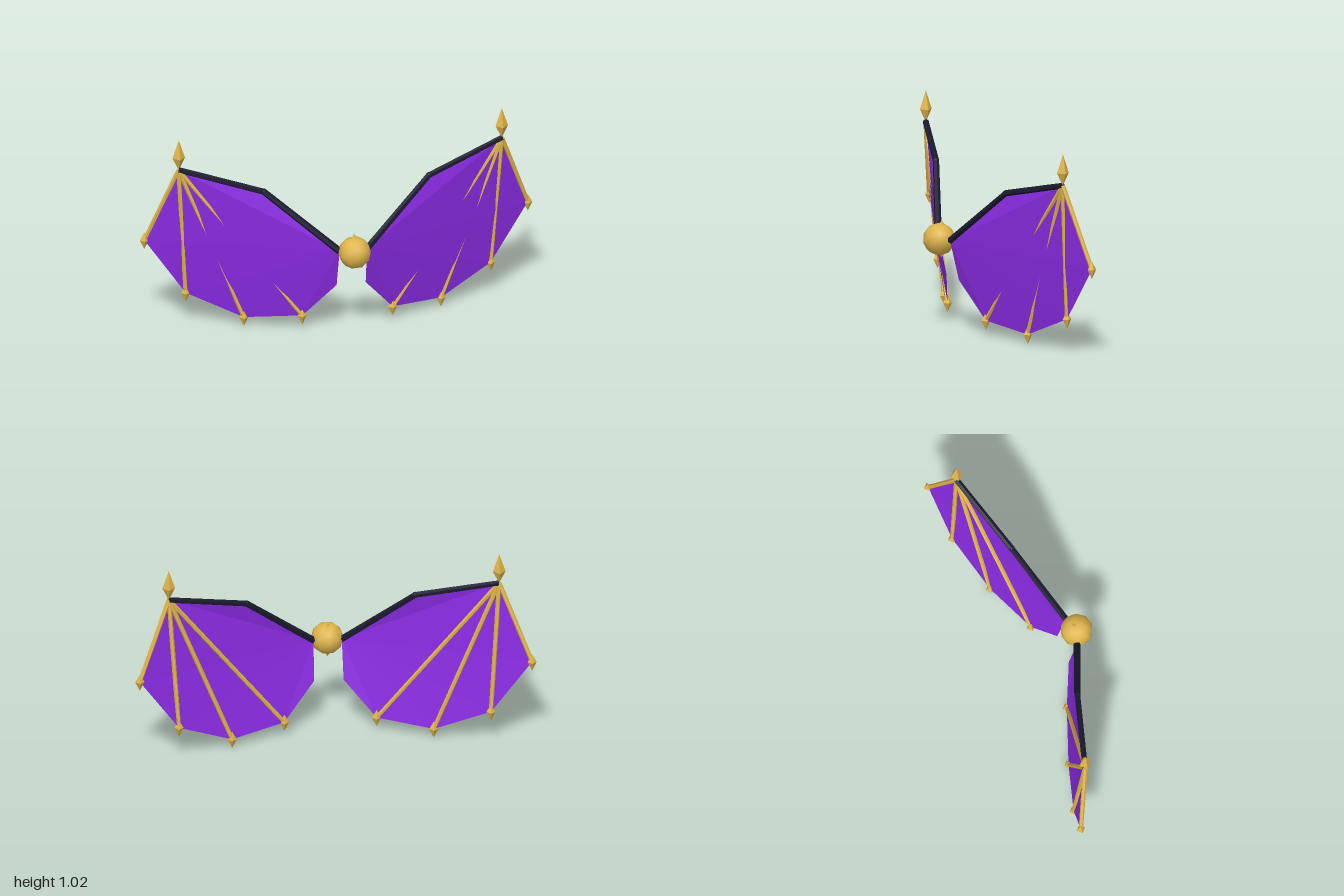
import * as THREE from 'three';

const mat = (name, color, extra = {}) => {
  const m = new THREE.MeshStandardMaterial({ color, ...extra });
  m.name = name;
  return m;
};

export function createModel() {
  const gold = mat('gold', 0xdfb54c, { flatShading: true });
  const goldSmooth = gold.clone();
  goldSmooth.flatShading = false;
  const dark = mat('black', 0x1a1a2e, { flatShading: true });
  const purple = mat('purple', 0x8a2be2, { side: THREE.DoubleSide, flatShading: true });

  const root = new THREE.Group();
  root.name = 'wings';

  const add = (parent, name, geometry, material) => {
    const mesh = new THREE.Mesh(geometry, material);
    mesh.name = name;
    parent.add(mesh);
    return mesh;
  };

  // Tapered six-sided rod between two points, one flat side to the front
  const rod = (parent, name, a, b, ra, rb, material) => {
    const geometry = new THREE.CylinderGeometry(rb, ra, a.distanceTo(b), 6, 1, false, Math.PI / 6);
    const mesh = add(parent, name, geometry.rotateX(Math.PI / 2), material);
    mesh.position.copy(a).add(b).multiplyScalar(0.5);
    mesh.up.set(0, 0, 1);
    mesh.lookAt(b);
  };

  // Four-sided crystal, widest at its origin
  const crystal = (parent, name, at, up, down, radius) => {
    const profile = [[0, -down], [radius, 0], [0, up]].map(p => new THREE.Vector2(...p));
    add(parent, name, new THREE.LatheGeometry(profile, 4), gold).position.copy(at);
  };

  for (const [side, label] of [[1, 'left'], [-1, 'right']]) {
    const wing = new THREE.Group();
    wing.name = label + 'Wing';
    root.add(wing);
    const P = (x, y, z) => new THREE.Vector3(side * x, y, z);

    const shoulder = P(0.07, 0.46, 0.138);
    const elbow = P(0.42, 0.756, -0.007);
    const wrist = P(0.823, 0.862, -0.134);
    const tips = [
      P(0.977, 0.46, -0.222), P(0.777, 0.173, -0.177),
      P(0.502, 0.05, -0.089), P(0.23, 0.076, 0.016),
    ];
    const innerEdge = P(0.074, 0.257, 0.092);

    // Membrane: triangles fanned from the shoulder
    const rim = [elbow, wrist, ...tips, innerEdge];
    const tris = [];
    for (let i = 0; i < rim.length - 1; i++) tris.push(shoulder, rim[i + 1], rim[i]);
    const skin = new THREE.BufferGeometry().setFromPoints(tris);
    skin.computeVertexNormals();
    add(wing, 'membrane', skin, purple);

    // Arm along the leading edge
    rod(wing, 'upperArm', shoulder, elbow, 0.018, 0.016, dark);
    rod(wing, 'forearm', elbow, wrist, 0.016, 0.015, dark);
    add(wing, 'elbowJoint', new THREE.IcosahedronGeometry(0.016, 1), dark).position.copy(elbow);

    // Finger bones and their claws
    for (const tip of tips) {
      rod(wing, 'fingerBone', wrist, tip, 0.012, 0.011, gold);
      crystal(wing, 'fingerClaw', tip, 0.042, 0.048, 0.023);
    }
    crystal(wing, 'wristClaw', wrist.clone().setY(0.927), 0.095, 0.065, 0.032);
  }

  // Central orb with a crystal through it
  add(root, 'orb', new THREE.IcosahedronGeometry(0.082, 1), goldSmooth).position.set(0, 0.457, 0.165);
  crystal(root, 'orbCrystal', new THREE.Vector3(0, 0.457, 0.152), 0.096, 0.096, 0.06);

  return root;
}
